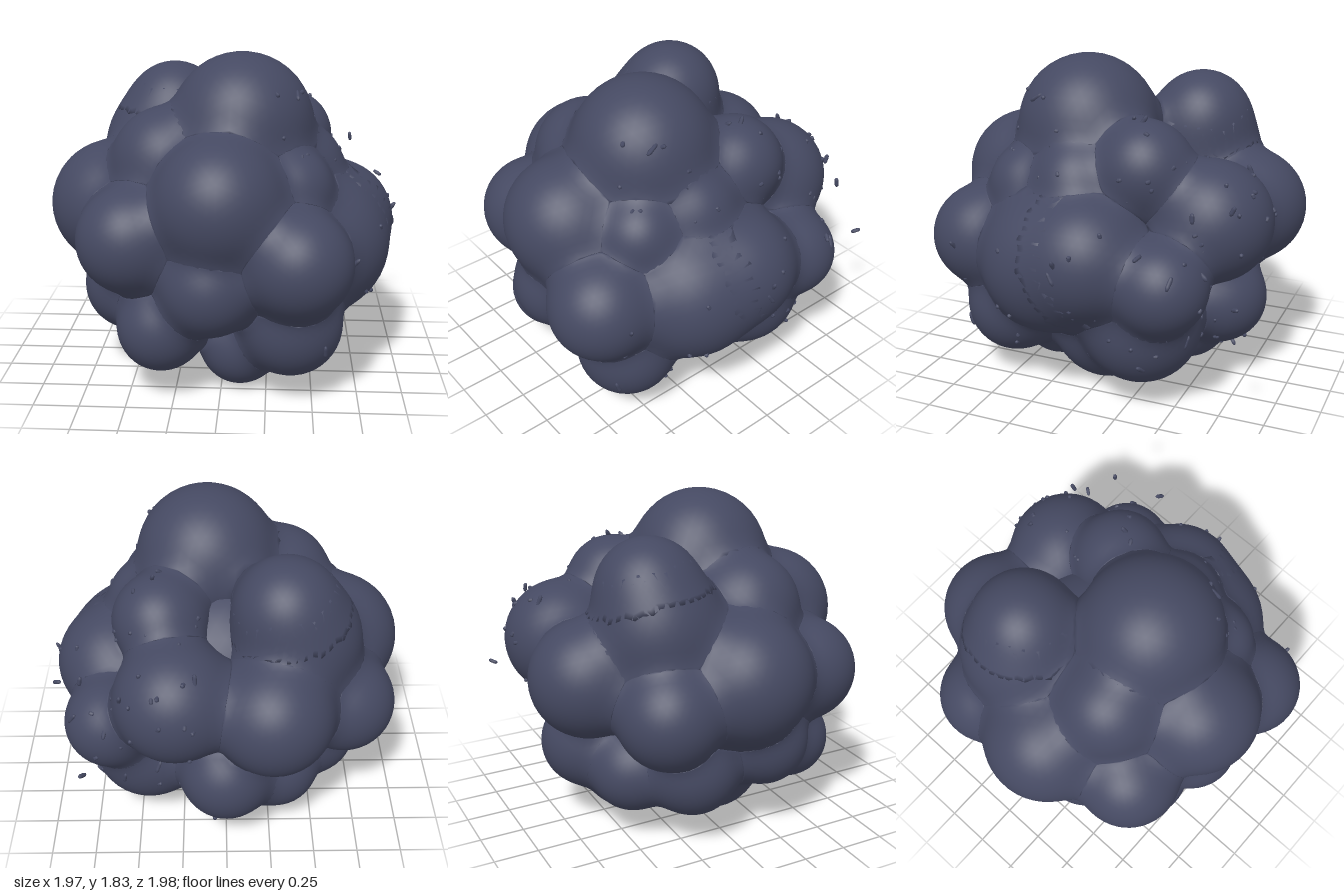
import * as THREE from 'three';
import { mergeVertices } from 'three/addons/utils/BufferGeometryUtils.js';

// Each lump: x, y, z, radius
const CROWN = [
  [0.1, 1.45, 0.18, 0.39], [-0.38, 1.22, -0.32, 0.35], [-0.32, 1.43, -0.35, 0.28],
  [-0.31, 1.25, 0.25, 0.3], [0.43, 1.2, 0.1, 0.23], [0.35, 1.3, -0.26, 0.26],
  [0.38, 1.15, 0.42, 0.21],
];
const MIDDLE = [
  [0, 1.11, 0.61, 0.35], [-0.48, 0.89, 0.54, 0.29], [0.41, 0.82, 0.7, 0.29],
  [-0.05, 0.67, 0.66, 0.26], [-0.63, 0.96, 0.07, 0.36], [0.52, 0.78, 0.2, 0.4],
  [0.63, 0.86, -0.04, 0.33], [0.64, 0.76, -0.46, 0.25], [0.27, 1.03, -0.61, 0.33],
  [-0.25, 0.97, -0.67, 0.32], [-0.65, 0.84, -0.39, 0.28],
];
const BASE = [
  [-0.32, 0.4, 0.55, 0.24], [0.38, 0.42, 0.52, 0.28], [0.1, 0.23, 0.38, 0.22],
  [0.24, 0.33, 0, 0.32], [0.44, 0.46, -0.28, 0.33], [-0.25, 0.31, 0.08, 0.27],
  [-0.53, 0.53, 0.25, 0.25], [-0.5, 0.44, -0.18, 0.26], [0, 0.49, -0.59, 0.26],
  [-0.05, 0.28, -0.38, 0.22], [-0.29, 0.4, -0.44, 0.23],
];
const ALL = [...CROWN, ...MIDDLE, ...BASE];
const BLEND = 0.04;

let seed = 7;
function rand() {
  seed = (seed * 16807) % 2147483647;
  return seed / 2147483647;
}

// Distance to the softly joined lumps; the outward direction goes into grad
function softDistance(p, grad) {
  let sum = 0;
  grad.set(0, 0, 0);
  for (const [x, y, z, r] of ALL) {
    const dx = p.x - x, dy = p.y - y, dz = p.z - z;
    const len = Math.hypot(dx, dy, dz) || 1e-6;
    const weight = Math.exp((r - len) / BLEND);
    sum += weight;
    grad.x += (weight * dx) / len;
    grad.y += (weight * dy) / len;
    grad.z += (weight * dz) / len;
  }
  grad.normalize();
  return -BLEND * Math.log(sum);
}

// Ball whose rim swells out to fill the valleys beside its neighbours
function lumpGeometry([x, y, z, r]) {
  const ball = new THREE.IcosahedronGeometry(r, 7);
  ball.deleteAttribute('normal');
  ball.deleteAttribute('uv');
  const geo = mergeVertices(ball, 1e-4).translate(x, y, z);
  const pos = geo.attributes.position;
  const v = new THREE.Vector3();
  const grad = new THREE.Vector3();
  for (let i = 0; i < pos.count; i++) {
    v.fromBufferAttribute(pos, i);
    for (let step = 0; step < 4; step++) {
      const d = softDistance(v, grad);
      if (d < -0.09) break;
      v.addScaledVector(grad, -d);
    }
    pos.setXYZ(i, v.x, v.y, v.z);
  }
  geo.computeVertexNormals();
  return geo;
}

// Farthest point of the cluster along a ray from its middle
function surfacePoint(origin, dir) {
  let far = 0;
  for (const [x, y, z, r] of ALL) {
    const c = new THREE.Vector3(x, y, z).sub(origin);
    const along = c.dot(dir);
    const h = r * r - (c.lengthSq() - along * along);
    if (h > 0) far = Math.max(far, along + Math.sqrt(h));
  }
  return origin.clone().addScaledVector(dir, far);
}

export function createModel() {
  const model = new THREE.Group();
  const slate = new THREE.MeshStandardMaterial({ color: 0x454962 });
  slate.name = 'slate blue';

  const addPart = (parent, name, geo) => {
    const mesh = new THREE.Mesh(geo, slate);
    mesh.name = name;
    parent.add(mesh);
    return mesh;
  };

  // Solid middle behind the lumps
  addPart(model, 'core', new THREE.IcosahedronGeometry(0.58, 6)).position.set(0, 0.86, 0);

  // Rounded lumps, in three tiers
  const tiers = { crownLump: CROWN, middleLump: MIDDLE, baseLump: BASE };
  for (const [name, lumps] of Object.entries(tiers)) {
    const tier = new THREE.Group();
    tier.name = name + 's';
    for (const lump of lumps) addPart(tier, name, lumpGeometry(lump));
    model.add(tier);
  }

  // Small flecks scattered over the left half
  const flecks = new THREE.Group();
  flecks.name = 'flecks';
  const fleckGeo = new THREE.CapsuleGeometry(0.012, 0.016, 3, 6);
  const origin = new THREE.Vector3(0, 0.9, 0);
  const addFleck = (p, stretch) => {
    const fleck = addPart(flecks, 'fleck', fleckGeo);
    fleck.position.copy(p);
    fleck.rotation.set(rand() * 3, rand() * 3, rand() * 3);
    fleck.scale.set(1, stretch, 1);
  };
  for (let i = 0; i < 95; i++) {
    const a = (rand() - 0.5) * 2.5 + 0.25;
    const up = rand() * 1.7 - 0.75;
    const flat = Math.sqrt(1 - up * up);
    const dir = new THREE.Vector3(Math.cos(a) * flat, up, -Math.sin(a) * flat);
    addFleck(surfacePoint(origin, dir), rand() < 0.2 ? 2 : 0.8);
  }
  // Loose flecks just off the surface
  for (const p of [[0.75, 0.76, -0.89], [0.54, 1.19, -0.8], [0.75, 1.2, -0.66], [0.91, 1.02, -0.44]]) {
    addFleck(new THREE.Vector3(...p), 1.4);
  }
  model.add(flecks);
  return model;
}
